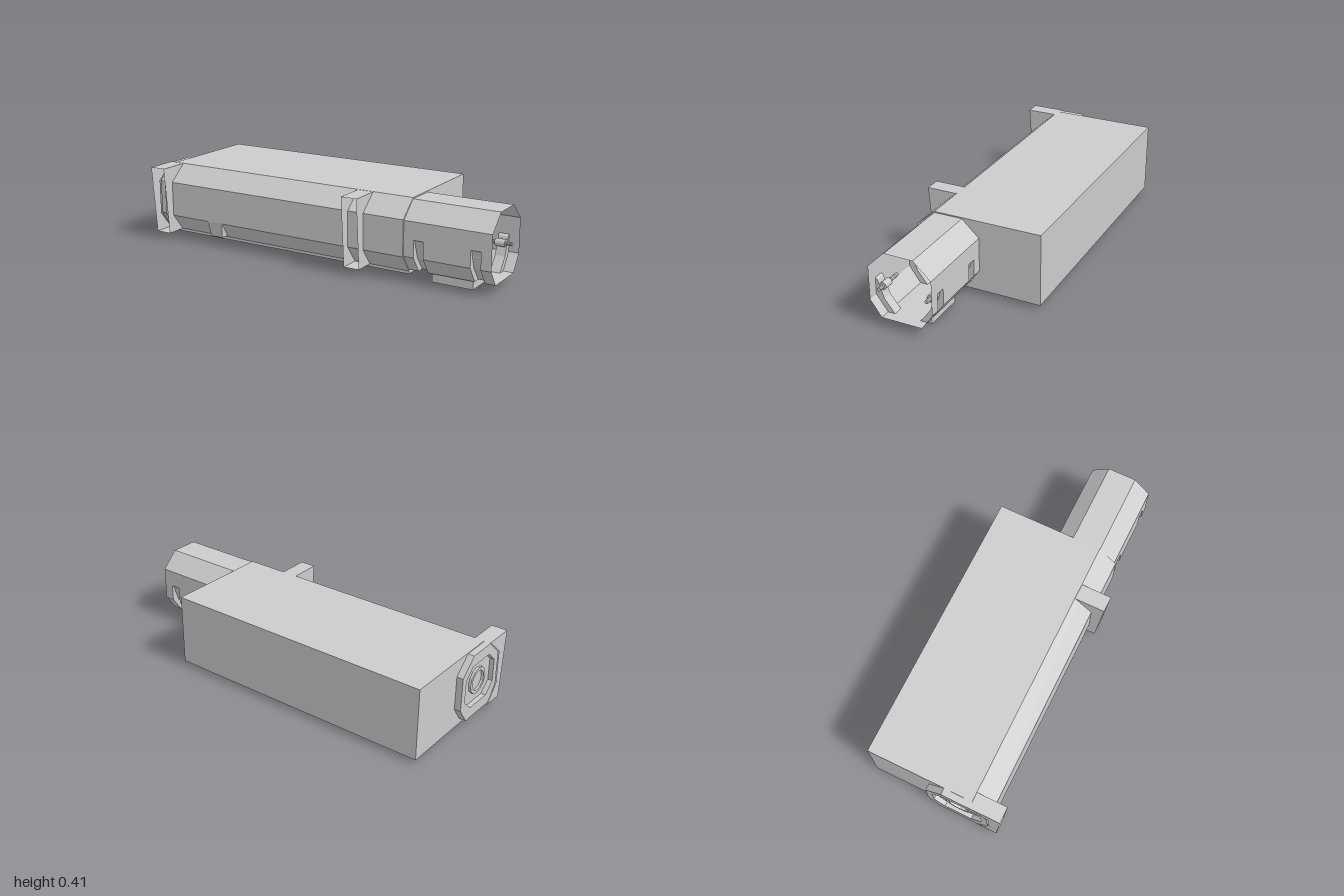
import * as THREE from 'three';

const mat = new THREE.MeshStandardMaterial({ color: 0xcccccc, flatShading: true, side: THREE.DoubleSide });

// Cross-sections are lists of [z, y]; they run along x.
const MID = 0.13;
const mirror = (pts) => pts.map(([z, y]) => [2 * MID - z, y]).reverse();
const symmetric = (half) => [...half, ...mirror(half)];
const toVectors = (pts) => pts.map(([z, y]) => new THREE.Vector2(-z, y));

function section(pts, hole) {
  const s = new THREE.Shape(toVectors(pts));
  if (hole) s.holes.push(new THREE.Path(toVectors(hole)));
  return s;
}

function add(group, name, geometry) {
  const m = new THREE.Mesh(geometry, mat);
  m.name = name;
  group.add(m);
  return m;
}

// Solid bar of a section between two x positions
function bar(pts, x0, x1, hole) {
  return new THREE.ExtrudeGeometry(section(pts, hole), { depth: x1 - x0, bevelEnabled: false })
    .rotateY(Math.PI / 2).translate(x0, 0, 0);
}

// Flat sheet across x
function sheet(pts, x) {
  return new THREE.ShapeGeometry(section(pts)).rotateY(Math.PI / 2).translate(x, 0, 0);
}

// Thin shell following a section, open at both ends
function shell(pts, x0, x1, closed = true) {
  const v = [];
  const n = closed ? pts.length : pts.length - 1;
  for (let i = 0; i < n; i++) {
    const [za, ya] = pts[i];
    const [zb, yb] = pts[(i + 1) % pts.length];
    v.push(x0, ya, za, x1, ya, za, x1, yb, zb, x0, ya, za, x1, yb, zb, x0, yb, zb);
  }
  const g = new THREE.BufferGeometry();
  g.setAttribute('position', new THREE.Float32BufferAttribute(v, 3));
  g.computeVertexNormals();
  return g;
}

const polygon = (r, n) => Array.from({ length: n }, (_, i) => {
  const a = (i / n) * Math.PI * 2;
  return [0.135 + r * Math.cos(a), 0.227 + r * Math.sin(a)];
});

// Sections run from the top, down the front, and back up the rear
const octagon = symmetric([[0.208, 0.405], [0.3, 0.318], [0.3, 0.135], [0.24, 0.05]]);
const smallOctagon = symmetric([[0.206, 0.345], [0.265, 0.29], [0.265, 0.165], [0.206, 0.11]]);
const grooveCurve = [[0.3, 0.225], [0.288, 0.215], [0.278, 0.185], [0.255, 0.12], [0.2, 0.05]];
const grooved = symmetric([[0.208, 0.405], [0.3, 0.318], ...grooveCurve]);
const grooveCap = [...grooveCurve, [0.24, 0.05], [0.3, 0.135]];

export function createModel() {
  const model = new THREE.Group();
  model.name = 'housing';

  // Main block with a faceted front and a hollow bore
  const block = [[-0.375, 0.022], [-0.375, 0.411], [0.207, 0.411], [0.308, 0.322],
    [0.308, 0.133], [0.237, 0.04], [0.237, 0.025]];
  add(model, 'mainBody', bar(block, -0.965, 0.535, octagon));

  // End frame with a recessed plate and a round port
  const frame = add(model, 'endFrame', bar(octagon, -1, -0.96, smallOctagon));
  frame.position.y = 0.002;
  add(model, 'endPlate', sheet(smallOctagon, -0.975));
  add(model, 'portRing', bar(polygon(0.072, 12), -0.988, -0.965, polygon(0.055, 12)));

  // Sleeves that stand out from the front, open forwards
  const wall = [[0.207, 0.41], [0.375, 0.41], [0.347, 0.038], [0.235, 0.038], [0.308, 0.133], [0.308, 0.322]];
  for (const x of [-1, 0.222]) {
    const sleeve = new THREE.Group();
    sleeve.name = 'frontSleeve';
    add(sleeve, 'sleeveSide', sheet(wall, x));
    add(sleeve, 'sleeveSide', sheet(wall, x + 0.088));
    add(sleeve, 'sleeveTop', shell([[0.2, 0.41], [0.375, 0.41]], x, x + 0.088, false));
    add(sleeve, 'sleeveBottom', shell([[0.235, 0.038], [0.347, 0.038]], x, x + 0.088, false));
    model.add(sleeve);
  }

  // Small tapered tab under the front edge
  const tab = bar([[0.308, 0.133], [0.294, 0.05], [0.24, 0.05]], -0.67, -0.575);
  const p = tab.attributes.position;
  for (let i = 0; i < p.count; i++) {
    if (p.getY(i) < 0.1) p.setX(i, -0.6225 + (p.getX(i) + 0.6225) * 0.78);
  }
  tab.computeVertexNormals();
  add(model, 'lowerTab', tab);

  // Open octagonal barrel with two grooves on each side
  const grooves = [[0.59, 0.642], [0.892, 0.945]];
  let start = 0.535;
  for (const [a, b] of grooves) {
    add(model, 'barrelShell', shell(octagon, start, a));
    add(model, 'grooveShell', shell(grooved, a, b));
    for (const x of [a, b]) {
      add(model, 'grooveSide', sheet(grooveCap, x));
      add(model, 'grooveSide', sheet(mirror(grooveCap), x));
    }
    start = b;
  }
  add(model, 'barrelShell', shell(octagon, start, 1));

  // Rods with collars inside the barrel
  for (const z of [0.26, 0]) {
    const rod = add(model, 'rod', new THREE.CylinderGeometry(0.01, 0.01, 0.16, 10).rotateZ(Math.PI / 2));
    rod.position.set(0.9, 0.188, z);
    const collar = add(model, 'rodCollar', new THREE.CylinderGeometry(0.02, 0.02, 0.053, 12).rotateZ(Math.PI / 2));
    collar.position.set(0.9185, 0.188, z);
  }

  // Foot below the barrel
  const foot = add(model, 'foot', new THREE.BoxGeometry(0.222, 0.05, 0.186));
  foot.position.set(0.766, 0.025, MID);

  return model;
}
